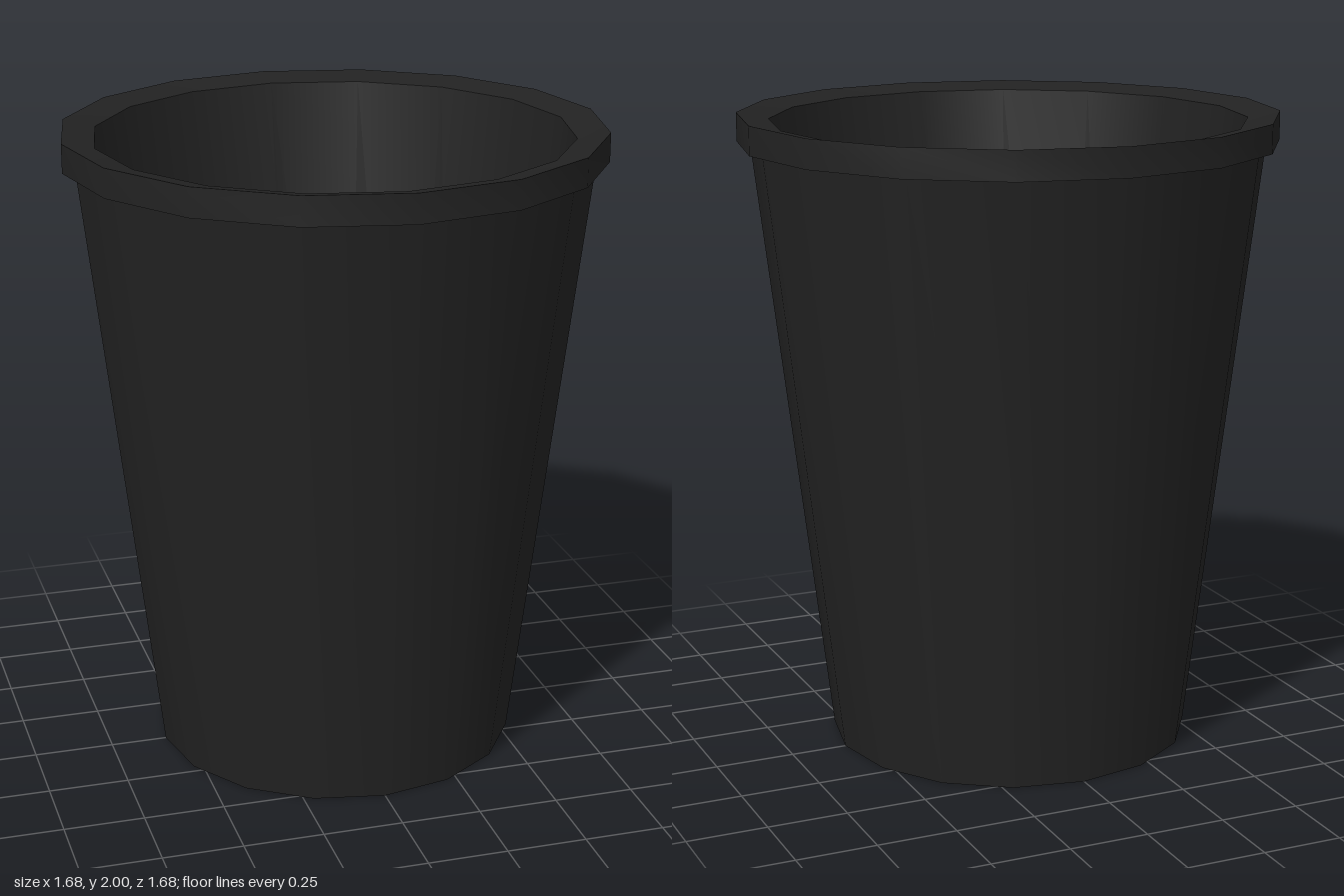
import * as THREE from 'three';
import { toCreasedNormals } from 'three/addons/utils/BufferGeometryUtils.js';

const SIDES = 16;

export function createModel() {
  const group = new THREE.Group();
  group.name = 'cup';
  const material = new THREE.MeshStandardMaterial({ color: 0x222222 });

  // Turn an [radius, height] profile around the y axis, keeping its corners sharp
  const turned = (name, profile) => {
    const points = profile.map(([r, y]) => new THREE.Vector2(r, y));
    const geometry = toCreasedNormals(new THREE.LatheGeometry(points, SIDES), Math.PI / 6);
    const mesh = new THREE.Mesh(geometry, material);
    mesh.name = name;
    group.add(mesh);
  };

  // Underside and tapered outer wall
  turned('outerWall', [[0, 0], [0.572, 0], [0.8, 1.91]]);
  // Overhanging lip, its top dipping slightly inwards
  turned('rim', [[0.8, 1.91], [0.84, 1.91], [0.84, 2], [0.74, 1.98]]);
  // Inner wall and floor
  turned('innerWall', [[0.74, 1.98], [0.503, 0.06], [0, 0.06]]);

  return group;
}
